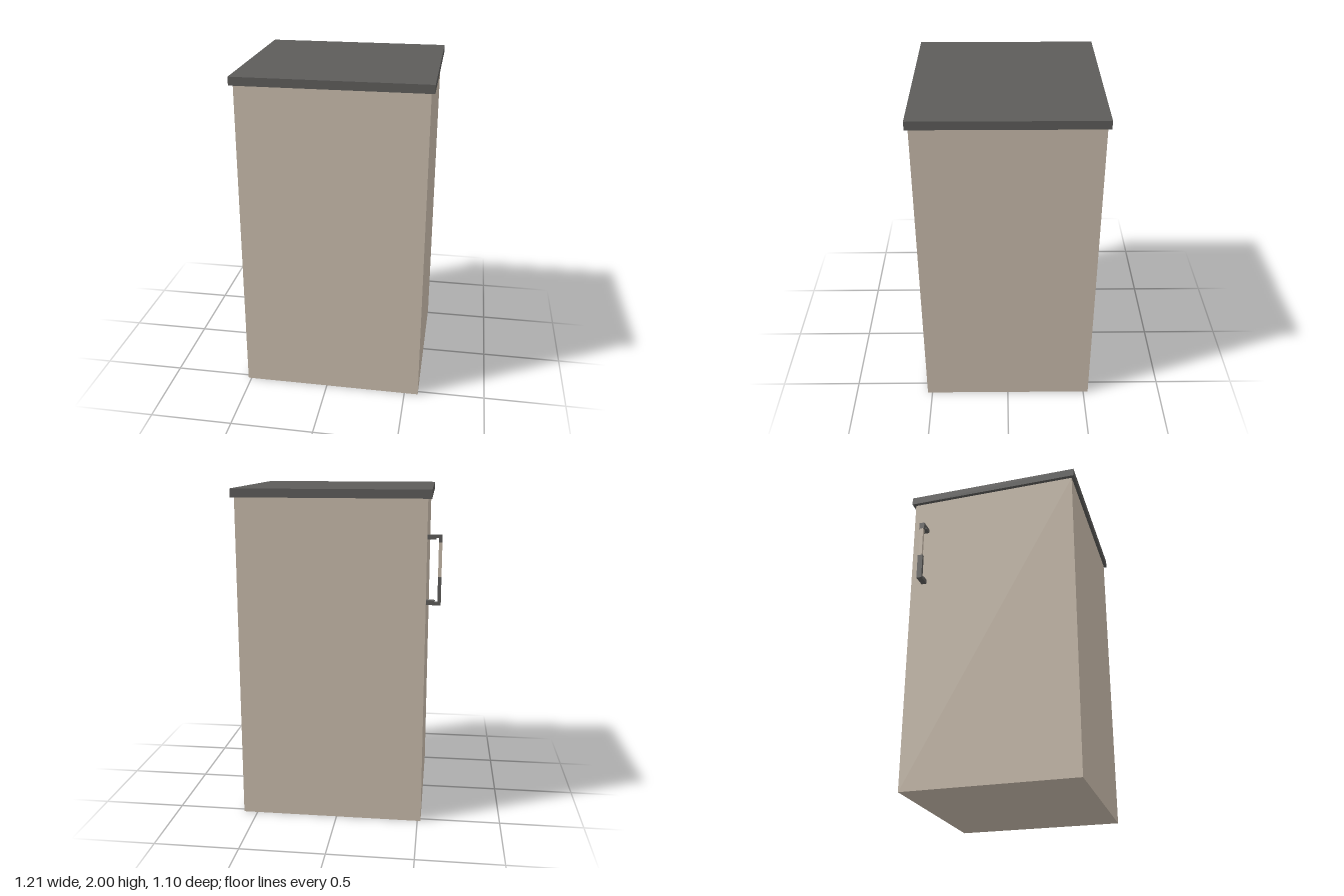
import * as THREE from 'three';

export function createModel() {
  const model = new THREE.Group();
  const beige = new THREE.MeshStandardMaterial({ color: 0xc8bbab });
  beige.name = 'beige panel';
  const charcoal = new THREE.MeshStandardMaterial({ color: 0x5d5c5a });
  charcoal.name = 'charcoal';

  // Box given by its minimum and maximum on each axis
  function addBox(parent, name, material, [x0, x1], [y0, y1], [z0, z1]) {
    const mesh = new THREE.Mesh(new THREE.BoxGeometry(x1 - x0, y1 - y0, z1 - z0), material);
    mesh.position.set((x0 + x1) / 2, (y0 + y1) / 2, (z0 + z1) / 2);
    mesh.name = name;
    parent.add(mesh);
  }

  // Cabinet and overhanging worktop
  addBox(model, 'cabinetBody', beige, [-0.52, 0.585], [0, 1.95], [-0.53, 0.53]);
  addBox(model, 'worktop', charcoal, [-0.542, 0.605], [1.95, 2], [-0.548, 0.548]);

  // Door handle on the right side, near the back edge
  const handle = new THREE.Group();
  handle.name = 'handle';
  model.add(handle);
  const wide = [-0.459, -0.426];
  const barX = [-0.605, -0.585];
  addBox(handle, 'lowerGrip', charcoal, barX, [1.335, 1.5], wide);
  addBox(handle, 'middleGrip', beige, barX, [1.5, 1.7], [-0.453, -0.432]);
  addBox(handle, 'upperGrip', charcoal, barX, [1.7, 1.742], wide);

  // Stepped brackets joining the grip to the cabinet, mirrored top and bottom
  const middle = 1.5385;
  for (const side of [1, -1]) {
    const span = (inner, outer) =>
      [middle + side * inner, middle + side * outer].sort((a, b) => a - b);
    addBox(handle, 'bracketNeck', charcoal, [-0.585, -0.57], span(0.188, 0.2035), wide);
    addBox(handle, 'bracketFoot', charcoal, [-0.57, -0.52], span(0.177, 0.2035), wide);
  }

  return model;
}
